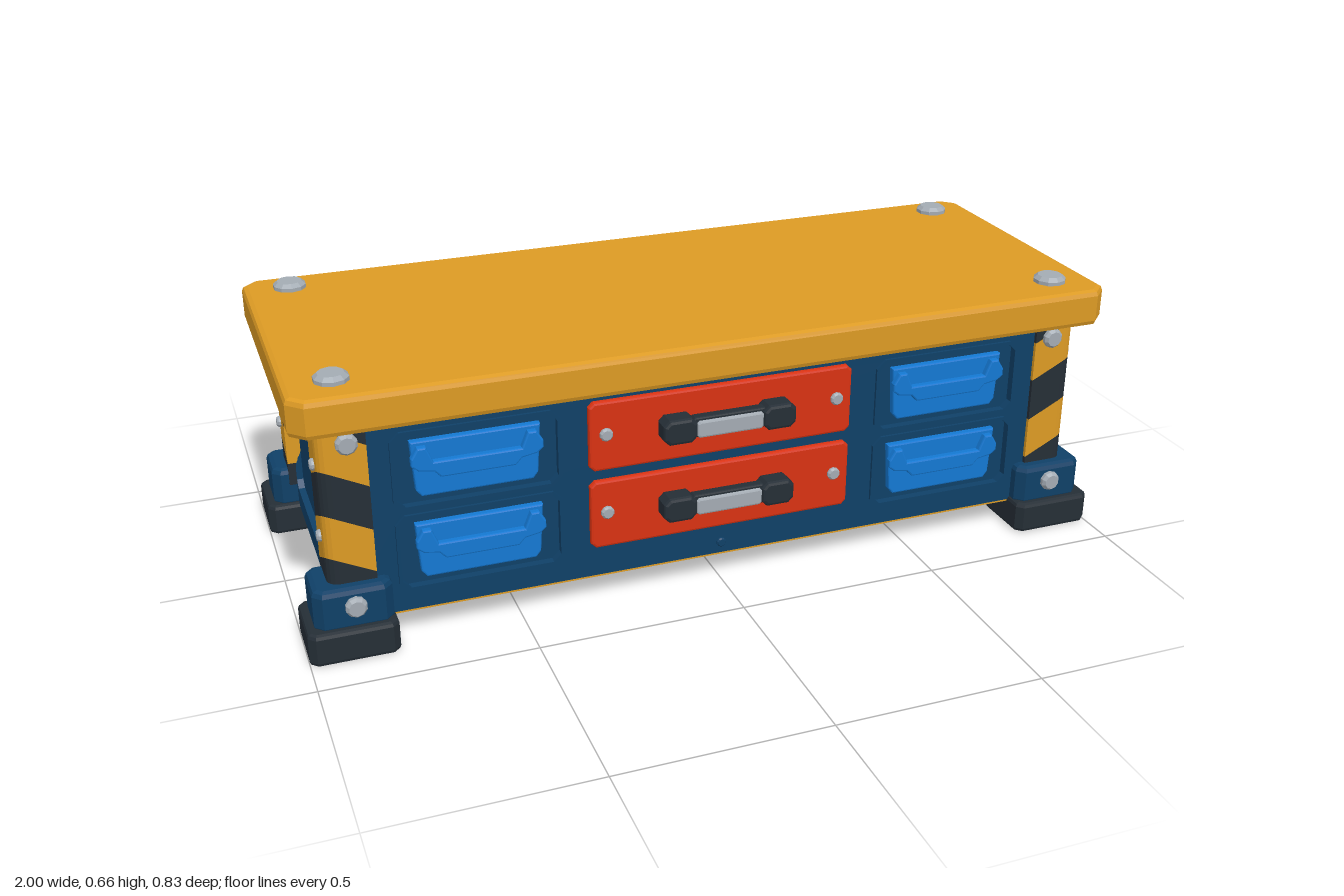
import * as THREE from 'three';

const mat = (name, color, side = THREE.FrontSide) => {
  const m = new THREE.MeshStandardMaterial({ color, side });
  m.name = name;
  return m;
};

export function createModel() {
  const group = new THREE.Group();
  const yellow = mat('yellow', 0xdc9a24, THREE.DoubleSide);
  const dark = mat('charcoal', 0x252e36, THREE.DoubleSide);
  const navy = mat('navy blue', 0x0f4067);
  const blue = mat('bright blue', 0x1478d2);
  const red = mat('red', 0xd83212);
  const silver = mat('silver', 0xa3abb3);

  const add = (name, geo, material, x = 0, y = 0, z = 0, parent = group) => {
    const m = new THREE.Mesh(geo, material);
    m.name = name;
    m.position.set(x, y, z);
    parent.add(m);
    return m;
  };
  const poly = pts => new THREE.Shape(pts.map(p => new THREE.Vector2(...p)));
  // chamfered rectangle outline
  const outline = (w, h, c, x = 0, y = 0) => {
    const a = w / 2, b = h / 2;
    return [[-a + c, -b], [a - c, -b], [a, -b + c], [a, b - c], [a - c, b], [-a + c, b], [-a, b - c], [-a, -b + c]]
      .map(p => [p[0] + x, p[1] + y]);
  };
  // plate from z = 0 to z = d with bevelled rims
  const plate = (shape, d, bevel) => new THREE.ExtrudeGeometry(shape, {
    depth: d - 2 * bevel, bevelEnabled: bevel > 0, bevelThickness: bevel,
    bevelSize: bevel, bevelOffset: -bevel, bevelSegments: 2,
  }).translate(0, 0, bevel);
  const block = (w, h, d, c, bevel) => plate(poly(outline(w, h, c)), d, bevel);
  // block standing on y = 0
  const standing = (w, h, d, c, bevel) => block(w, d, h, c, bevel).rotateX(-Math.PI / 2);
  const boltGeo = (r, h) => {
    const pts = [[0, 0], [r, 0], [r, h * 0.55], [r * 0.75, h], [0, h]].map(p => new THREE.Vector2(...p));
    return new THREE.LatheGeometry(pts, 10).toNonIndexed().rotateX(Math.PI / 2);
  };
  const flat = g => { g.computeVertexNormals(); return g; };
  // bolt head facing +z, turned about y
  const bolt = (name, r, h, x, y, z, turn = 0, material = silver) => {
    add(name, flat(boltGeo(r, h)), material, x, y, z).rotation.y = turn;
  };

  // bench top with four large bolts
  add('benchTop', standing(1.99, 0.092, 0.795, 0.035, 0.014), yellow, 0, 0.55, 0.0125);
  for (const x of [-0.885, 0.885]) for (const z of [-0.298, 0.308]) {
    add('topBolt', flat(boltGeo(0.04, 0.02)), silver, x, 0.64, z).rotation.x = -Math.PI / 2;
  }

  // cabinet core and underside
  add('cabinetCore', new THREE.BoxGeometry(1.81, 0.48, 0.67), navy, 0, 0.31, 0);
  add('underside', new THREE.BoxGeometry(1.84, 0.006, 0.7), yellow, 0, 0.069, 0);

  // raised frames around the recessed panels: holes are [x, y, width, height]
  const frame = (name, w, holes) => {
    const s = poly([[-w / 2, 0.071], [w / 2, 0.071], [w / 2, 0.55], [-w / 2, 0.55]]);
    for (const [x, y, hw, hh] of holes) s.holes.push(new THREE.Path(outline(hw, hh, 0.018, x, y).map(p => new THREE.Vector2(...p)).reverse()));
    return add(name, plate(s, 0.017, 0), navy);
  };
  const rows = [0.422, 0.218], binX = [-0.588, 0.588];
  const fronts = [];
  for (const y of rows) for (const x of binX) fronts.push([x, y, 0.375, 0.178]);
  frame('frontFrame', 1.84, fronts).position.z = 0.334;
  const back = frame('backFrame', 1.84, [[0, 0.32, 1.58, 0.39]]);
  back.rotation.y = Math.PI;
  back.position.z = -0.334;
  for (const s of [-1, 1]) {
    const side = frame('sideFrame', 0.702, [[0, 0.32, 0.5, 0.39]]);
    side.rotation.y = s * Math.PI / 2;
    side.position.x = s * 0.904;
    for (const z of [-0.215, 0.215]) bolt('sidePanelBolt', 0.014, 0.008, s * 0.905, 0.475, z, s * Math.PI / 2, navy);
    for (const y of [0.16, 0.48]) bolt('backPanelBolt', 0.014, 0.01, s * 0.75, y, -0.335, Math.PI, navy);
  }
  bolt('backPanelBolt', 0.014, 0.01, 0, 0.16, -0.335, Math.PI, navy);
  bolt('frontSillBolt', 0.012, 0.008, 0, 0.1, 0.35, 0, navy);

  // thin rims around the bin openings
  for (const [x, y, w, h] of fronts) {
    const s = poly(outline(w + 0.012, h + 0.012, 0.022));
    s.holes.push(new THREE.Path(outline(w - 0.004, h - 0.004, 0.018).map(p => new THREE.Vector2(...p)).reverse()));
    add('binRim', plate(s, 0.008, 0), navy, x, y, 0.35);
  }

  // small bins: tapered face with a stepped pull lip
  const face = poly([[-0.128, -0.07], [0.128, -0.07], [0.14, -0.055], [0.148, 0.065], [-0.148, 0.065], [-0.14, -0.055]]);
  const half = [[0.085, -0.022], [0.1, -0.006], [0.135, 0], [0.15, 0.012], [0.15, 0.03], [0.135, 0.055], [0.115, 0.055], [0.1, 0.018]];
  const lip = poly([...half, ...half.map(([x, y]) => [-x, y]).reverse()]);
  for (const y of rows) for (const x of binX) {
    const bin = new THREE.Group();
    bin.name = 'bin';
    bin.position.set(x, y, 0.33);
    add('binFace', plate(face, 0.022, 0.004), blue, 0, 0, 0, bin);
    add('binLip', plate(lip, 0.02, 0.004), blue, 0, 0, 0.018, bin);
    group.add(bin);
  }

  // red drawers with bracketed handles
  for (const y of [0.435, 0.236]) {
    const drawer = new THREE.Group();
    drawer.name = 'drawer';
    drawer.position.set(-0.003, y, 0.34);
    add('drawerFace', block(0.655, 0.172, 0.025, 0.012, 0.006), red, 0, 0, 0, drawer);
    for (const s of [-1, 1]) {
      add('handleBracket', block(0.082, 0.062, 0.052, 0.014, 0.008), dark, s * 0.123, 0.004, 0.023, drawer);
      add('drawerBolt', flat(boltGeo(0.016, 0.01)), silver, s * 0.288, 0.006, 0.025, drawer);
    }
    add('handleBar', block(0.18, 0.05, 0.025, 0.004, 0.004), dark, 0, 0.006, 0.04, drawer);
    add('handleGrip', block(0.165, 0.042, 0.016, 0.006, 0.005), silver, 0, 0.002, 0.056, drawer);
    group.add(drawer);
  }

  // corner post outline, from the front face round to the side face
  const X = 0.94, Z = 0.36, W = 0.11, R = 0.028, path = [[X - W, 0.335]];
  for (let i = 0; i <= 8; i++) path.push([X - W + (W - R) * i / 8, Z]);
  for (let i = 1; i < 4; i++) {
    const a = i * Math.PI / 8;
    path.push([X - R + R * Math.sin(a), Z - R + R * Math.cos(a)]);
  }
  for (let i = 0; i <= 8; i++) path.push([X, Z - R - (W - R) * i / 8]);
  path.push([0.9, Z - W]);
  // slanted stripe that peaks at the corner
  const stripe = (sx, sz, lo, hi) => {
    const pts = sx * sz > 0 ? path : [...path].reverse();
    const pos = [], idx = [];
    pts.forEach(([x, z], i) => {
      const drop = 0.5 * Math.min(W, X - x + Z - z);
      for (const y of [lo, hi]) pos.push(sx * x, THREE.MathUtils.clamp(y - drop, 0.13, 0.552), sz * z);
      if (i) {
        const a = 2 * i - 2;
        idx.push(a, a + 2, a + 3, a, a + 3, a + 1);
      }
    });
    const g = new THREE.BufferGeometry();
    g.setAttribute('position', new THREE.Float32BufferAttribute(pos, 3));
    g.setIndex(idx);
    return flat(g.toNonIndexed());
  };

  // four corners: striped post, boot, foot and bolts
  const levels = [0.13, 0.245, 0.35, 0.457, 0.557, 0.66];
  for (const sx of [-1, 1]) for (const sz of [-1, 1]) {
    const turn = sz > 0 ? 0 : Math.PI;
    for (let i = 0; i < 5; i++) add('postStripe', stripe(sx, sz, levels[i], levels[i + 1]), i % 2 ? yellow : dark);
    add('foot', standing(0.205, 0.08, 0.172, 0.016, 0.01), dark, sx * 0.8975, 0, sz * 0.325);
    add('boot', standing(0.18, 0.105, 0.138, 0.02, 0.014), navy, sx * 0.89, 0.068, sz * 0.322);
    bolt('bootBolt', 0.025, 0.018, sx * 0.887, 0.13, sz * 0.39, turn);
    bolt('postBolt', 0.025, 0.016, sx * 0.873, 0.513, sz * 0.36, turn);
    for (const y of [0.28, 0.455]) bolt('postSideBolt', 0.014, 0.01, sx * 0.94, y, sz * 0.317, sx * Math.PI / 2);
  }
  return group;
}
